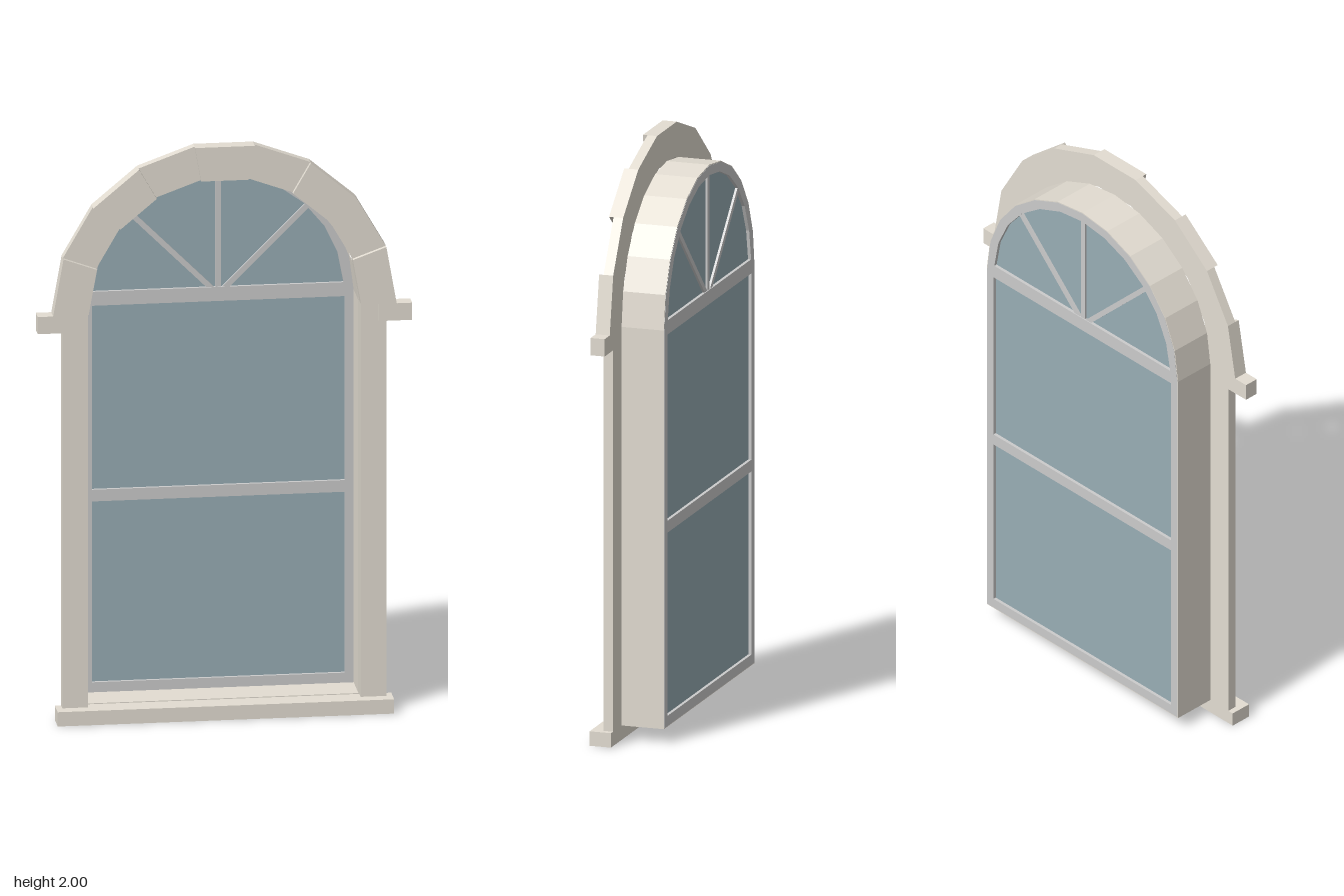
import * as THREE from 'three';

const SPRING = 1.43;   // height where the arch begins
const stone = new THREE.MeshStandardMaterial({ color: 0xe3ddd2, flatShading: true });
const grey = new THREE.MeshStandardMaterial({ color: 0xcccccc, flatShading: true });
const glass = new THREE.MeshStandardMaterial({ color: 0x98adb5, flatShading: true });

// points along an arc about the middle of the springing line
function arc(r, from, to, steps) {
  return Array.from({ length: steps + 1 }, (_, i) => {
    const a = from + (to - from) * i / steps;
    return new THREE.Vector2(r * Math.cos(a), SPRING + r * Math.sin(a));
  });
}

// round-headed outline: straight sides up to a 12-sided half circle
function archedOutline(r, bottom) {
  return [new THREE.Vector2(-r, bottom), new THREE.Vector2(r, bottom), ...arc(r, 0, Math.PI, 12)];
}

function rectOutline(x0, x1, y0, y1) {
  return [[x0, y0], [x1, y0], [x1, y1], [x0, y1]].map(p => new THREE.Vector2(...p));
}

// half-round light above the top rail
function fanOutline(r, bottom) {
  const a = Math.asin((bottom - SPRING) / r);
  return arc(r, a, Math.PI - a, 12);
}

function slab(name, outline, z0, z1, material, holes = []) {
  const shape = new THREE.Shape(outline);
  shape.holes = holes.map(h => new THREE.Path(h));
  const geometry = new THREE.ExtrudeGeometry(shape, { depth: z1 - z0, bevelEnabled: false });
  geometry.translate(0, 0, z0);
  const mesh = new THREE.Mesh(geometry, material);
  mesh.name = name;
  return mesh;
}

export function createModel() {
  const model = new THREE.Group();
  model.name = 'archedWindow';

  // sill and jambs with small impost blocks
  model.add(slab('sill', rectOutline(-0.568, 0.568, 0, 0.05), 0.037, 0.113, stone));
  for (const [side, s] of [['left', 1], ['right', -1]]) {
    const mirrored = (a, b, y0, y1) => rectOutline(Math.min(s * a, s * b), Math.max(s * a, s * b), y0, y1);
    model.add(slab(side + 'Jamb', mirrored(0.46, 0.547, 0.05, SPRING), 0.037, 0.071, stone));
    model.add(slab(side + 'Impost', mirrored(0.52, 0.632, 1.37, SPRING), 0.037, 0.087, stone));
  }

  // nine arch stones, every other one standing proud
  const arch = new THREE.Group();
  arch.name = 'archStones';
  for (let i = 0; i < 9; i++) {
    const a = i * Math.PI / 9, b = (i + 1) * Math.PI / 9;
    const outline = [...arc(0.58, a, b, 1), ...arc(0.46, b, a, 1)];
    arch.add(slab('archStone', outline, 0.037, i % 2 ? 0.071 : 0.087, stone));
  }
  model.add(arch);

  // thin lining of the opening
  model.add(slab('reveal', archedOutline(0.46, 0.05), -0.113, 0.037, stone,
    [archedOutline(0.457, 0.053)]));

  // window frame with two rectangular lights and a fan light
  const lights = [
    rectOutline(-0.427, 0.427, 0.088, 0.722),
    rectOutline(-0.427, 0.427, 0.763, 1.408),
    fanOutline(0.424, 1.457),
  ];
  model.add(slab('frame', archedOutline(0.457, 0.053), -0.114, -0.086, grey, lights));
  lights.forEach(l => model.add(slab('glassPane', l, -0.103, -0.097, glass)));

  // radiating glazing bars of the fan light
  for (const angle of [45, 90, 135]) {
    const geometry = new THREE.BoxGeometry(0.4, 0.018, 0.022);
    geometry.translate(0.227, 0, 0);
    const bar = new THREE.Mesh(geometry, grey);
    bar.name = 'glazingBar';
    bar.position.set(0, SPRING, -0.1);
    bar.rotation.z = THREE.MathUtils.degToRad(angle);
    model.add(bar);
  }
  return model;
}
